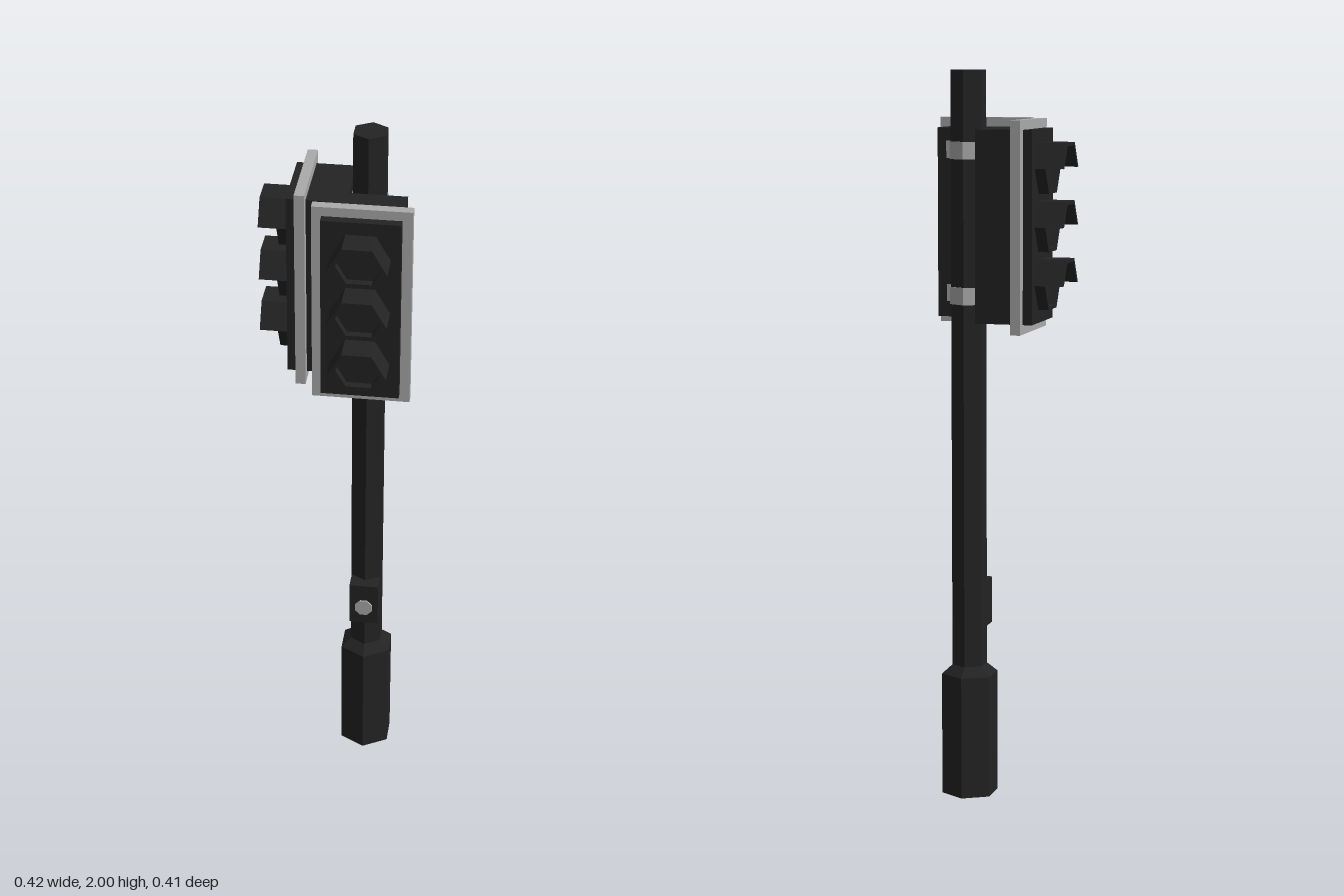
import * as THREE from 'three';

export function createModel() {
  const dark = new THREE.MeshStandardMaterial({ color: 0x232323, flatShading: true });
  dark.name = 'charcoal';
  const grey = new THREE.MeshStandardMaterial({ color: 0xaaaaaa, flatShading: true });
  grey.name = 'light grey';

  const model = new THREE.Group();
  model.name = 'trafficLight';
  // everything is built around the pole axis
  const assembly = new THREE.Group();
  assembly.name = 'signalPost';
  assembly.position.set(0.077, 0, -0.078);
  model.add(assembly);

  const add = (parent, name, geometry, material, x = 0, y = 0, z = 0) => {
    const mesh = new THREE.Mesh(geometry, material);
    mesh.name = name;
    mesh.position.set(x, y, z);
    parent.add(mesh);
    return mesh;
  };
  const box = (w, h, d) => new THREE.BoxGeometry(w, h, d);

  // hexagonal pole with a thicker, bevelled foot
  const profile = [[0, 0], [0.079, 0], [0.079, 0.342], [0.049, 0.367], [0.049, 2], [0, 2]];
  add(assembly, 'pole', new THREE.LatheGeometry(profile.map(p => new THREE.Vector2(...p)), 6), dark);

  // push button box
  add(assembly, 'buttonBox', box(0.082, 0.13, 0.05), dark, 0, 0.535, 0.053);
  const button = add(assembly, 'button', new THREE.CylinderGeometry(0.026, 0.026, 0.006, 8), grey, 0, 0.525, 0.08);
  button.rotation.set(Math.PI / 2, Math.PI / 8, 0);

  // hexagon corners, starting at +x; count 4 gives the upper half
  const corners = (r, count) => Array.from({ length: count }, (_, i) =>
    new THREE.Vector2(r * Math.cos(i * Math.PI / 3), r * Math.sin(i * Math.PI / 3)));
  const extrude = (shape, depth) => new THREE.ExtrudeGeometry(shape, { depth, bevelEnabled: false });

  const R = 0.078, INNER = 0.067;
  const ringShape = new THREE.Shape(corners(R, 6));
  ringShape.holes.push(new THREE.Path(corners(INNER, 6).reverse()));
  const ring = extrude(ringShape, 0.03);
  const hood = extrude(new THREE.Shape([...corners(R, 4), ...corners(INNER, 4).reverse()]), 0.05);
  const lens = extrude(new THREE.Shape(corners(INNER, 6)), 0.008);

  const strapHeights = [1.786, 1.395];

  // one signal head facing +z, attached to the pole
  function signalHead(name, angle) {
    const head = new THREE.Group();
    head.name = name;
    head.rotation.y = angle;
    add(head, 'housing', box(0.207, 0.515, 0.157), dark, 0, 1.587, 0.1285);
    add(head, 'backPlate', box(0.26, 0.566, 0.027), grey, 0, 1.587, 0.1685);
    for (const y of [1.742, 1.587, 1.432]) {
      add(head, 'lampRing', ring, dark, 0, y, 0.206);
      add(head, 'lampHood', hood, dark, 0, y, 0.235);
      add(head, 'lens', lens, dark, 0, y, 0.206);
    }
    for (const y of strapHeights) {
      add(head, 'strapTab', box(0.156, 0.047, 0.004), grey, 0, y, 0.0485);
    }
    assembly.add(head);
  }
  signalHead('frontHead', 0);
  signalHead('sideHead', -Math.PI / 2);

  // straps wrapped round the pole
  for (const y of strapHeights) {
    add(assembly, 'strap', new THREE.CylinderGeometry(0.052, 0.052, 0.047, 6), grey, 0, y, 0);
  }
  return model;
}
